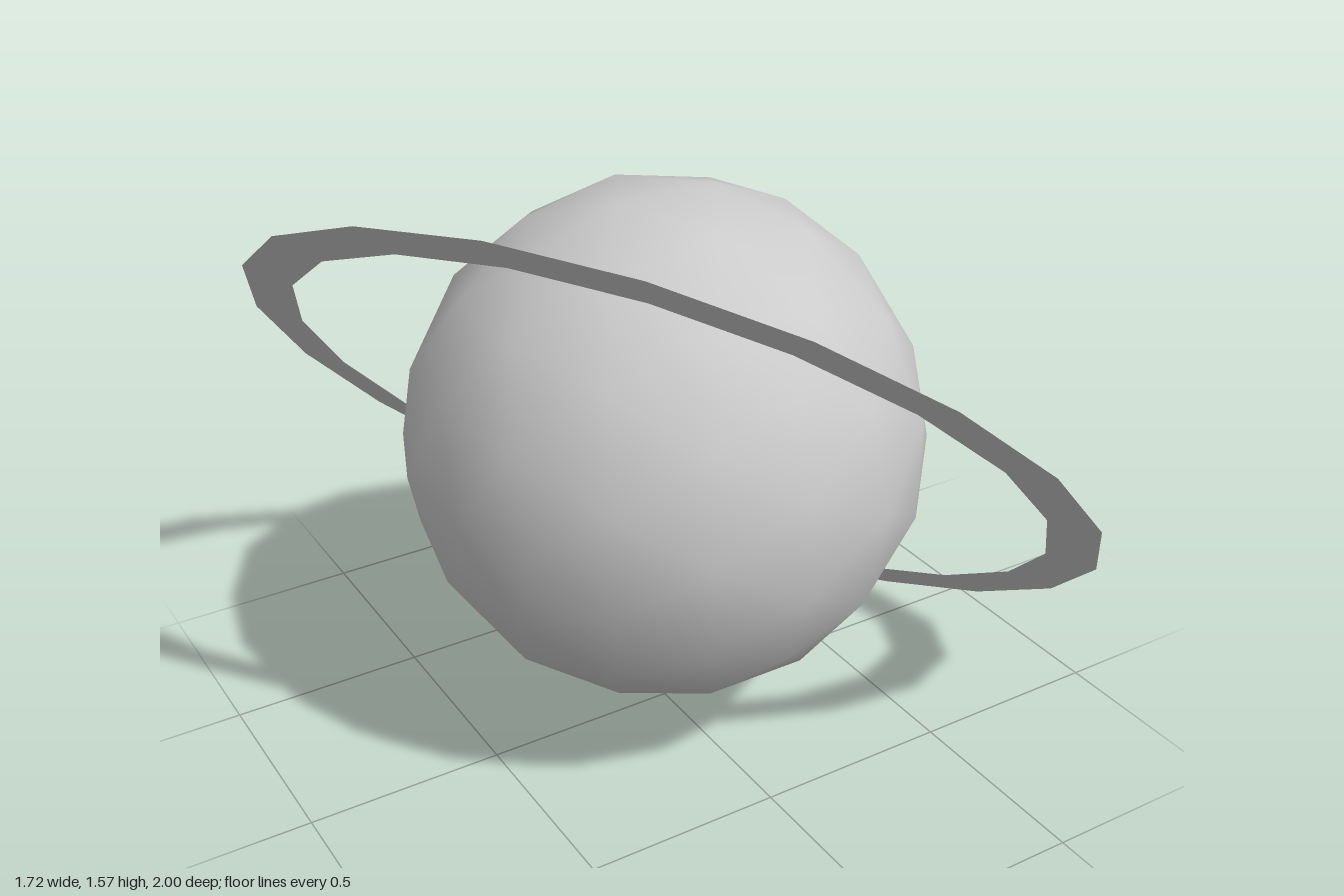
import * as THREE from 'three';

export function createModel() {
  const group = new THREE.Group();
  const centerY = 0.787;

  // Low-poly globe with smooth normals
  const globe = new THREE.Mesh(
    new THREE.IcosahedronGeometry(0.645, 2),
    new THREE.MeshStandardMaterial({ color: 0xcccccc })
  );
  globe.name = 'planet';
  globe.position.y = centerY;
  group.add(globe);

  // Thin flat ring, tilted: u points to its highest corner, v a quarter turn on
  const u = new THREE.Vector3(-0.65, 0.785, 0.385).normalize();
  const v = new THREE.Vector3(0.57, 0.02, 0.93);
  const n = u.clone().cross(v).normalize();
  v.crossVectors(n, u);
  const ring = new THREE.Mesh(
    new THREE.RingGeometry(0.965, 1.09, 20, 1),
    new THREE.MeshStandardMaterial({ color: 0xcccccc, side: THREE.DoubleSide })
  );
  ring.name = 'ring';
  ring.quaternion.setFromRotationMatrix(new THREE.Matrix4().makeBasis(u, v, n));
  ring.position.y = centerY;
  group.add(ring);

  return group;
}
